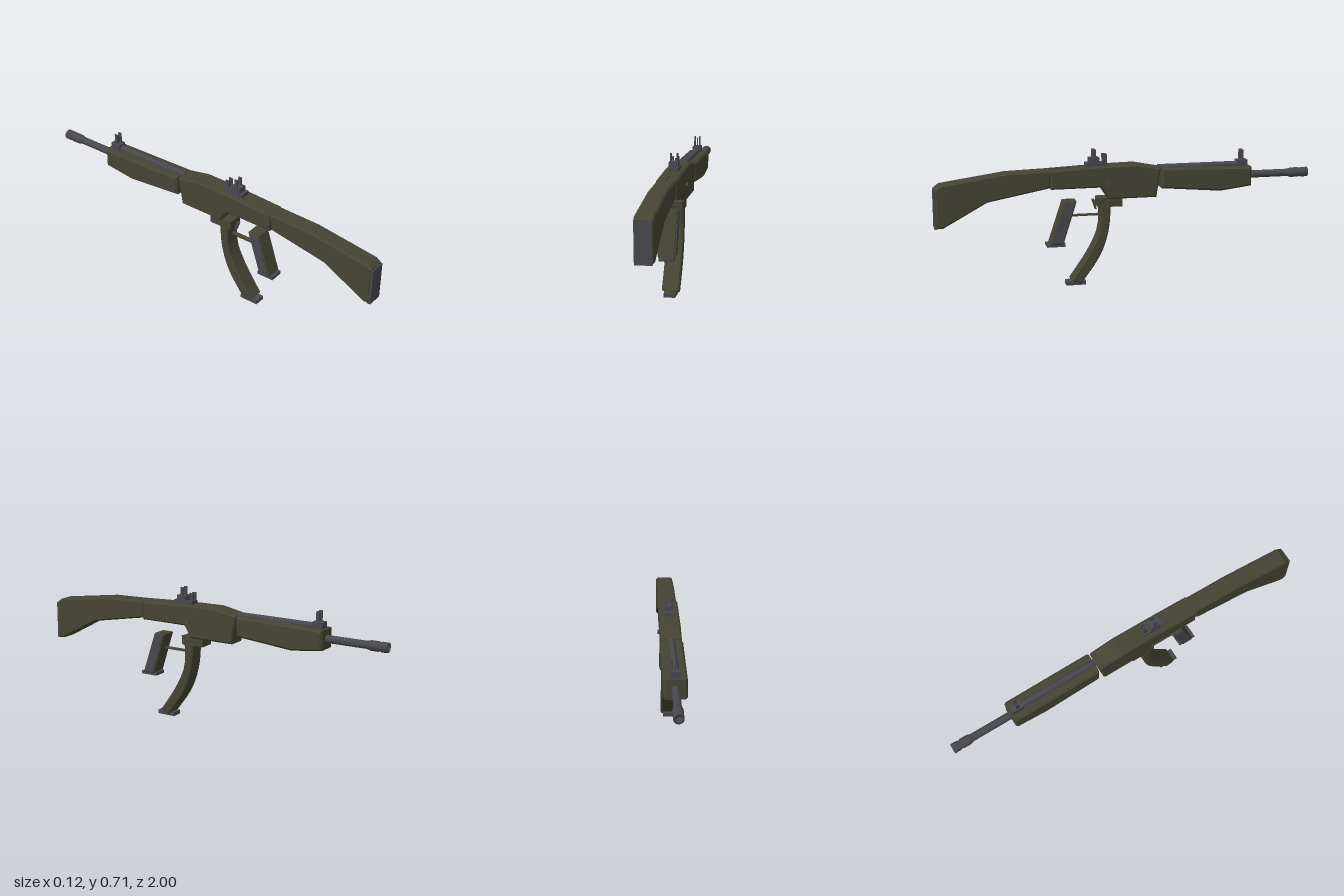
import * as THREE from 'three';

const mat = (name, color) => {
  const m = new THREE.MeshStandardMaterial({ color });
  m.name = name;
  return m;
};

export function createModel() {
  const olive = mat('olive', 0x454434);
  const steel = mat('steel', 0x48474d);
  const model = new THREE.Group();
  model.name = 'rifle';
  const body = new THREE.Group(); // everything shares one centre plane
  body.name = 'body';
  body.position.x = -0.003;
  model.add(body);

  const add = (name, geo, material) => {
    const mesh = new THREE.Mesh(geo, material);
    mesh.name = name;
    body.add(mesh);
    return mesh;
  };

  // Side outline given as [z, y], extruded across x with chamfered edges
  const slab = (name, pts, width, bevel, material, x = 0) => {
    const shape = new THREE.Shape(pts.map(([z, y]) => new THREE.Vector2(z, y)));
    const geo = new THREE.ExtrudeGeometry(shape, {
      depth: width - 2 * bevel, bevelEnabled: bevel > 0,
      bevelThickness: bevel, bevelSize: bevel, bevelOffset: -bevel, bevelSegments: 1,
    });
    geo.translate(0, 0, -width / 2 + bevel);
    geo.rotateY(-Math.PI / 2);
    geo.translate(x, 0, 0);
    return add(name, geo, material);
  };

  // Box from centre x, width and y/z ranges
  const box = (name, x, w, y0, y1, z0, z1, material) => {
    const geo = new THREE.BoxGeometry(w, y1 - y0, Math.abs(z1 - z0));
    geo.translate(x, (y0 + y1) / 2, (z0 + z1) / 2);
    return add(name, geo, material);
  };

  // Turned part pointing towards -z, profile as [radius, distance]
  const turned = (name, profile, y, z, sides) => {
    const geo = new THREE.LatheGeometry(profile.map(([r, d]) => new THREE.Vector2(r, d)), sides);
    geo.rotateX(-Math.PI / 2);
    geo.translate(0, y, z);
    return add(name, geo, steel);
  };

  // Stock and butt plate
  slab('stock', [
    [0.41, 0.525], [0.73, 0.466], [0.957, 0.342], [0.992, 0.342],
    [0.992, 0.545], [0.968, 0.563], [0.635, 0.61], [0.4, 0.617],
  ], 0.094, 0.008, olive);
  box('buttPlate', 0, 0.083, 0.34, 0.54, 0.98, 1, steel);

  // Receiver
  slab('receiver', [
    [0.405, 0.518], [0.14, 0.518], [0.1, 0.455], [-0.152, 0.455],
    [-0.175, 0.606], [-0.045, 0.631], [0.14, 0.628], [0.405, 0.616],
  ], 0.106, 0.008, olive);
  const button = add('sideButton', new THREE.CylinderGeometry(0.012, 0.012, 0.02, 8), steel);
  button.rotation.z = Math.PI / 2;
  button.position.set(0.053, 0.542, 0.112);
  box('topRod', 0, 0.004, 0.618, 0.624, 0.29, 0.41, steel);

  // Handguard
  slab('handguard', [
    [-0.18, 0.5], [-0.5, 0.472], [-0.67, 0.493], [-0.67, 0.595], [-0.18, 0.605],
  ], 0.116, 0.01, olive);

  // Gas tube, barrel and muzzle
  turned('gasTube', [[0, 0], [0.018, 0], [0.018, 0.44], [0, 0.44]], 0.602, -0.17, 12);
  turned('barrel', [[0.02, 0], [0.02, 0.29]], 0.545, -0.62, 16);
  turned('muzzle', [
    [0.02, 0], [0.026, 0.018], [0.026, 0.06], [0.023, 0.062], [0.023, 0.074],
    [0.026, 0.076], [0.026, 0.11], [0.015, 0.11], [0.015, 0.09], [0, 0.09],
  ], 0.545, -0.89, 16);

  // Front sight
  box('frontSightBase', 0, 0.046, 0.59, 0.628, -0.6, -0.657, steel);
  for (const s of [-1, 1]) box('frontSightEar', s * 0.014, 0.006, 0.62, 0.682, -0.617, -0.636, steel);
  box('frontSightPost', 0, 0.005, 0.62, 0.675, -0.622, -0.631, steel);

  // Rear sight
  box('rearSightBase', 0, 0.054, 0.62, 0.645, 0.105, 0.217, steel);
  box('rearSightBlock', 0, 0.047, 0.64, 0.671, 0.147, 0.2, steel);
  for (const s of [-1, 1]) {
    box('rearSightEar', s * 0.0165, 0.007, 0.66, 0.713, 0.163, 0.181, steel);
    box('rearSightSmallEar', s * 0.014, 0.006, 0.64, 0.688, 0.106, 0.128, steel);
  }
  box('rearSightPost', 0, 0.007, 0.64, 0.68, 0.112, 0.122, steel);

  // Magazine well, curved magazine and its foot
  box('magazineWell', 0, 0.084, 0.413, 0.46, 0.03, 0.158, olive);
  const curve = (pts) => new THREE.CatmullRomCurve3(pts.map(([z, y]) => new THREE.Vector3(z, y, 0)))
    .getPoints(10).map((p) => [p.x, p.y]);
  const front = curve([[0.09, 0.42], [0.1, 0.3], [0.13, 0.193], [0.17, 0.118], [0.25, 0.01]]);
  const rear = curve([[0.3, 0.028], [0.24, 0.113], [0.19, 0.193], [0.147, 0.295], [0.142, 0.42]]);
  slab('magazine', [...front, ...rear], 0.088, 0.006, olive);
  box('magazineFoot', 0, 0.06, 0, 0.02, 0.222, 0.325, steel);

  // Pistol grip with side panels and foot
  slab('grip', [[0.342, 0.225], [0.41, 0.225], [0.335, 0.45], [0.27, 0.45]], 0.086, 0.004, olive);
  for (const s of [-1, 1]) {
    slab('gripPanel', [[0.348, 0.232], [0.4, 0.232], [0.332, 0.443], [0.278, 0.443]],
      0.006, 0, steel, s * 0.0435);
  }
  box('gripFoot', 0, 0.074, 0.212, 0.228, 0.33, 0.425, steel);

  // Trigger and guard
  box('triggerGuard', 0, 0.024, 0.365, 0.373, 0.13, 0.29, olive);
  slab('trigger', [[0.158, 0.398], [0.168, 0.398], [0.185, 0.45], [0.17, 0.45]], 0.016, 0, steel);

  return model;
}
